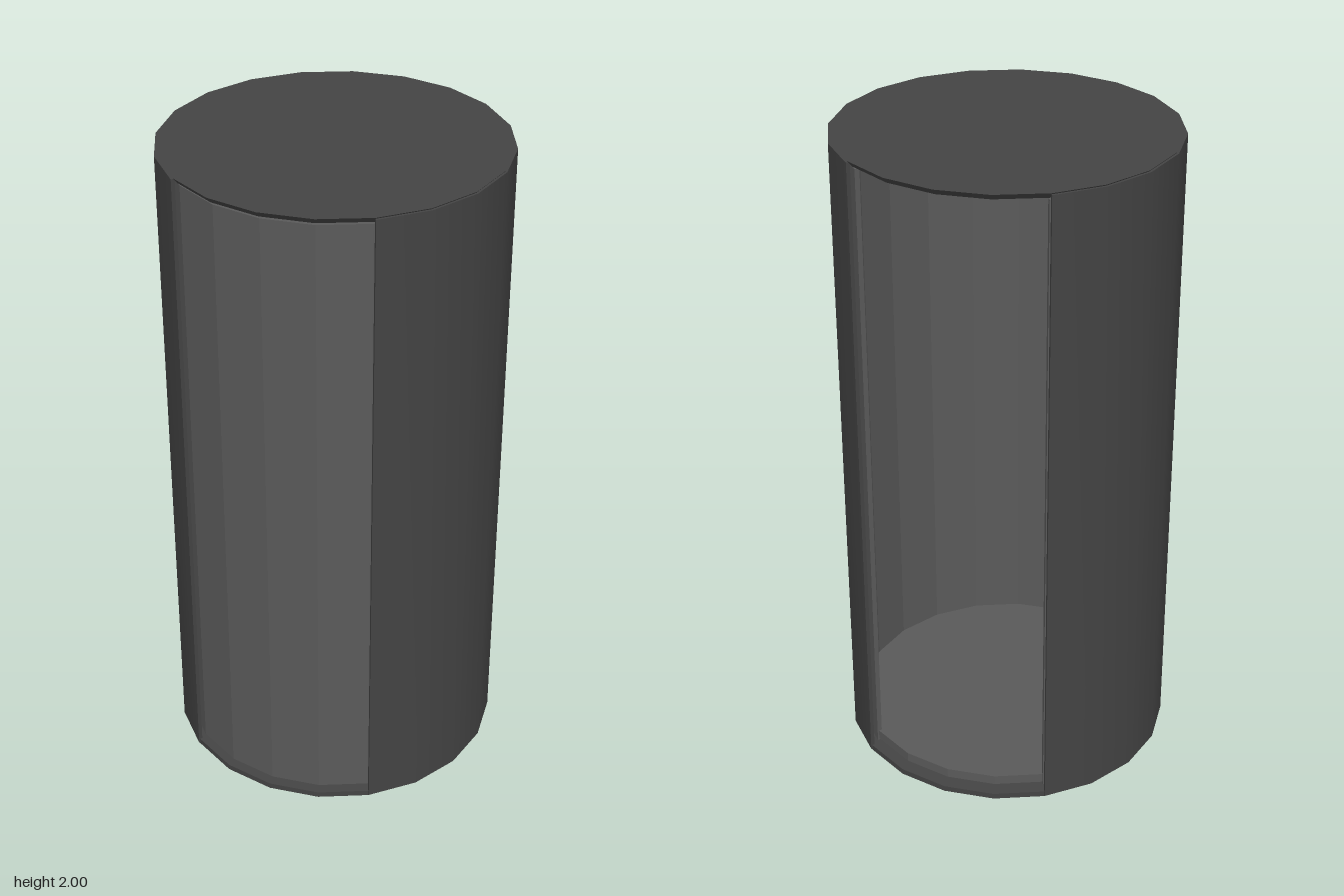
import * as THREE from 'three';
import { toCreasedNormals } from 'three/addons/utils/BufferGeometryUtils.js';

const STEP = Math.PI / 10; // twenty-sided plan

// Upright curved wall covering facets from..to (0 = +x, 5 = back, 15 = front)
function curvedWall(from, to, rOuter, rInner, y0, y1) {
  const points = [];
  const add = (r, i) => points.push(new THREE.Vector2(r * Math.cos(i * STEP), r * Math.sin(i * STEP)));
  for (let i = from; i <= to; i++) add(rOuter, i);
  for (let i = to; i >= from; i--) add(rInner, i);
  const g = new THREE.ExtrudeGeometry(new THREE.Shape(points), { depth: y1 - y0, bevelEnabled: false });
  return g.rotateX(-Math.PI / 2).translate(0, y0, 0);
}

// Flat twenty-sided disc
function disc(rTop, rBottom, y0, y1) {
  return new THREE.CylinderGeometry(rTop, rBottom, y1 - y0, 20).translate(0, (y0 + y1) / 2, 0);
}

export function createModel() {
  const model = new THREE.Group();
  const housing = new THREE.MeshStandardMaterial({ color: 0x444444 });
  const inner = new THREE.MeshStandardMaterial({ color: 0x5a5a5a, flatShading: true });

  function part(name, geometry, material, parent = model) {
    const mesh = new THREE.Mesh(geometry, material);
    mesh.name = name;
    parent.add(mesh);
  }

  // Fixed housing: two side walls leave openings at front and back
  const smooth = (g) => toCreasedNormals(g, 0.6);
  part('leftWall', smooth(curvedWall(-3, 3, 0.508, 0.496, 0.004, 1.996)), housing);
  part('rightWall', smooth(curvedWall(7, 13, 0.508, 0.496, 0.004, 1.996)), housing);
  part('roof', disc(0.504, 0.49, 1.982, 2), housing);
  part('base', disc(0.504, 0.504, 0, 0.018), housing);

  // Revolving inner drum, open to the back
  const drum = new THREE.Group();
  drum.name = 'revolvingDrum';
  model.add(drum);
  part('drumWall', curvedWall(7, 23, 0.483, 0.468, 0.03, 1.973), inner, drum);
  part('drumFloor', disc(0.478, 0.478, 0.036, 0.066), inner, drum);

  return model;
}
